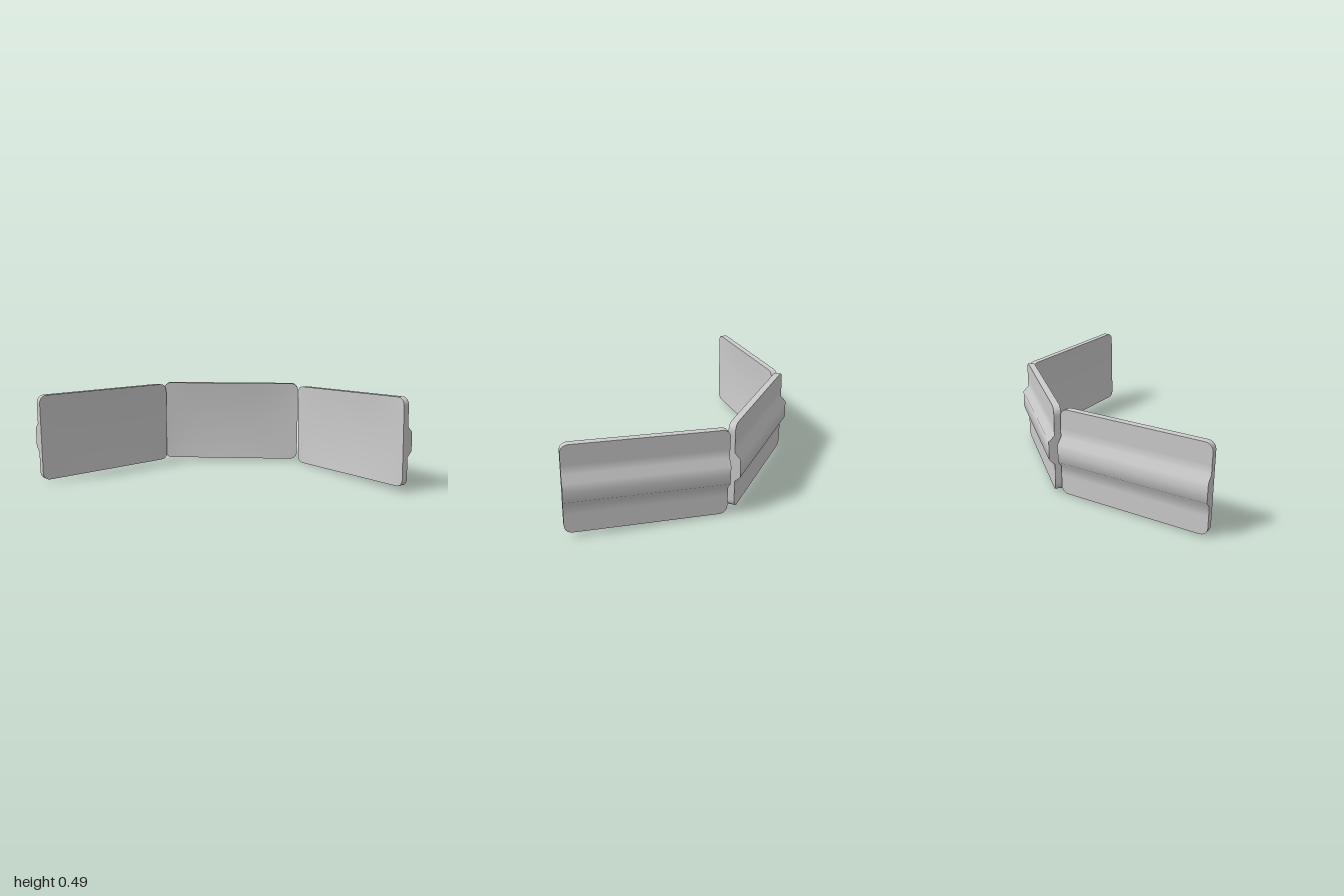
import * as THREE from 'three';
import { toCreasedNormals } from 'three/addons/utils/BufferGeometryUtils.js';

const HALF_W = 0.408, HALF_H = 0.233, CORNER = 0.04;
const SLAB = 0.036, RIB = 0.03, DISH = 0.01;

// Rounded plate lofted along x: dished front at z = 0, raised rib along the back
function panelGeometry() {
  // Stations along x, packed around the rounded corners
  const stations = [];
  for (let i = 0; i <= 5; i++) {
    const a = (i / 5) * Math.PI / 2;
    stations.push([-HALF_W + CORNER * (1 - Math.cos(a)), HALF_H - CORNER * (1 - Math.sin(a))]);
  }
  for (let i = 1; i < 10; i++) {
    stations.push([(HALF_W - CORNER) * (i / 5 - 1), HALF_H]);
  }
  for (let i = 5; i >= 0; i--) stations.push([-stations[i][0], stations[i][1]]);

  const rows = (h) => [-h, -0.18, -0.13, -0.08, -0.05, 0, 0.05, 0.08, 0.13, 0.18, h];
  const n = rows(1).length;
  const loop = 2 * n;
  const positions = [], index = [];

  for (const [x, h] of stations) {
    const ys = rows(h);
    // Front, bottom to top
    for (const y of ys) {
      const dip = DISH * Math.max(0, 1 - (y / h) ** 2) * (1 - (x / HALF_W) ** 4);
      positions.push(x, y, -dip);
    }
    // Back, top to bottom, with the trapezoid rib
    for (const y of ys.slice().reverse()) {
      const rise = THREE.MathUtils.clamp((0.08 - Math.abs(y)) / 0.03, 0, 1);
      positions.push(x, y, -SLAB - RIB * rise);
    }
  }

  // Skin between neighbouring cross-sections
  for (let s = 0; s < stations.length - 1; s++) {
    for (let i = 0; i < loop; i++) {
      const j = (i + 1) % loop;
      const a = s * loop + i, b = s * loop + j;
      index.push(a, a + loop, b, b, a + loop, b + loop);
    }
  }

  // End caps join each front point to the back point at the same height
  const last = (stations.length - 1) * loop;
  for (let i = 0; i < n - 1; i++) {
    const f0 = i, f1 = i + 1, b0 = loop - 1 - i, b1 = loop - 2 - i;
    index.push(f0, f1, b0, f1, b1, b0);
    index.push(last + f0, last + b0, last + f1, last + f1, last + b0, last + b1);
  }

  const geometry = new THREE.BufferGeometry();
  geometry.setAttribute('position', new THREE.Float32BufferAttribute(positions, 3));
  geometry.setIndex(index);
  return toCreasedNormals(geometry, 0.9);
}

export function createModel() {
  const model = new THREE.Group();
  model.name = 'foldingPanels';
  const material = new THREE.MeshStandardMaterial({ color: 0xcccccc });
  const geometry = panelGeometry();

  // Position of the front face centre, turn about y, then roll in its own plane
  const panels = [
    { name: 'centrePanel', at: [0.033, 0.247, -0.297], turn: 0, roll: 0 },
    { name: 'rightPanel', at: [-0.657, 0.242, 0.003], turn: 0.75, roll: 0 },
    { name: 'leftPanel', at: [0.697, 0.246, 0.028], turn: -0.904, roll: 0.035 },
  ];
  for (const { name, at, turn, roll } of panels) {
    const panel = new THREE.Mesh(geometry, material);
    panel.name = name;
    panel.position.set(...at);
    panel.rotation.set(0, turn, roll, 'YXZ');
    model.add(panel);
  }
  return model;
}
